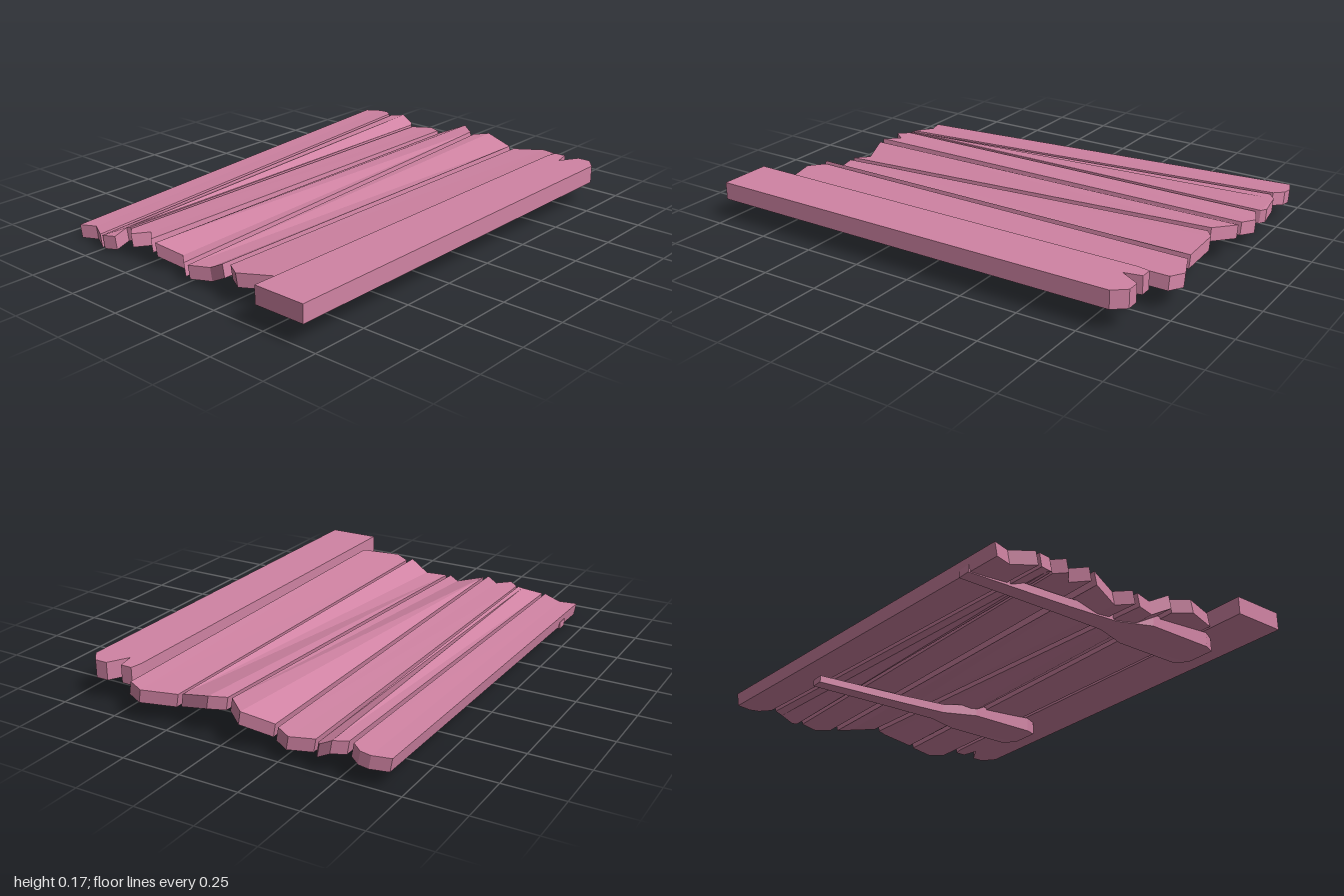
import * as THREE from 'three';

const material = new THREE.MeshStandardMaterial({ color: 0xd083a3, flatShading: true });

// Slab from an outline of [x, z, top, thickness]; each corner has its own height.
// The underside can be shifted sideways to give leaning edges.
function slab(name, outline, thickness, lean = 0) {
  const shape = new THREE.Shape(outline.map(([x, z]) => new THREE.Vector2(x, -z)));
  const geo = new THREE.ExtrudeGeometry(shape, { depth: 1, bevelEnabled: false });
  geo.rotateX(-Math.PI / 2);
  const pos = geo.attributes.position;
  for (let i = 0; i < pos.count; i++) {
    const x = pos.getX(i), z = pos.getZ(i), upper = pos.getY(i) > 0.5;
    const corner = outline.find(([cx, cz]) => Math.hypot(cx - x, cz - z) < 1e-4);
    pos.setY(i, upper ? corner[2] : corner[2] - (corner[3] ?? thickness));
    if (!upper) pos.setX(i, x + lean);
  }
  geo.computeVertexNormals();
  const mesh = new THREE.Mesh(geo, material);
  mesh.name = name;
  return mesh;
}

// Weathered planks: back edge left to right, then front edge right to left
const planks = [
  [[-0.7, -0.975, 0.123], [-0.63, -1, 0.128], [-0.585, -0.995, 0.131], [-0.54, -0.96, 0.135],
    [-0.505, 0.915, 0.067], [-0.595, 0.865, 0.062], [-0.67, 0.89, 0.057]],
  [[-0.52, -0.955, 0.135], [-0.47, -0.99, 0.139], [-0.415, -0.985, 0.11], [-0.4, -0.965, 0.105],
    [-0.395, 0.845, 0.105], [-0.415, 0.85, 0.1], [-0.43, 0.9, 0.073], [-0.49, 0.915, 0.066]],
  [[-0.38, -0.95, 0.104], [-0.29, -0.99, 0.109], [-0.225, -0.955, 0.114],
    [-0.225, 0.885, 0.114], [-0.29, 0.83, 0.109], [-0.34, 0.89, 0.106], [-0.385, 0.85, 0.104]],
  [[-0.2, -0.935, 0.112], [-0.09, -0.995, 0.161], [-0.003, -0.92, 0.163],
    [-0.02, 0.9, 0.078], [-0.08, 0.85, 0.075], [-0.2, 0.885, 0.105]],
  [[0.02, -0.915, 0.158], [0.08, -0.955, 0.166], [0.213, -0.935, 0.135],
    [0.185, 0.89, 0.13], [0.095, 0.87, 0.082], [0.003, 0.9, 0.075]],
  [[0.235, -0.935, 0.128], [0.37, -0.99, 0.138], [0.44, -0.96, 0.145],
    [0.44, 0.855, 0.145], [0.28, 0.915, 0.131], [0.207, 0.87, 0.126]],
];

// Straight, thicker edge plank with a split at the back
const edge = [[0.475, -0.85], [0.485, -0.9], [0.535, -0.9], [0.55, -0.825], [0.6, -0.91],
  [0.655, -0.91], [0.7, -0.855], [0.695, 1], [0.465, 1]].map(([x, z]) => [x, z, 0.17]);

// Half outline of a cross rail: [x, half width, top, thickness], tapering to the right side
const railHalf = [[-0.6, 0.028, 0.034, 0.03], [-0.2, 0.036, 0.05, 0.035], [0.03, 0.045, 0.062, 0.04],
  [0.18, 0.095, 0.08, 0.052], [0.48, 0.095, 0.092, 0.063], [0.54, 0.065, 0.096, 0.058]];

function rail(name, zc, tipX) {
  const side = (s) => railHalf.map(([x, w, t, d], i) => [i ? x : tipX, zc + s * w, t, d]);
  return slab(name, [...side(-1), ...side(1).reverse()], 0.05);
}

export function createModel() {
  const group = new THREE.Group();
  group.name = 'plankPanel';
  planks.forEach((p, i) => group.add(slab(`plank${i + 1}`, p, 0.055, 0.01)));
  group.add(slab('edgePlank', edge, 0.076));
  group.add(rail('frontRail', 0.71, -0.67));
  group.add(rail('backRail', -0.425, -0.6));
  return group;
}
